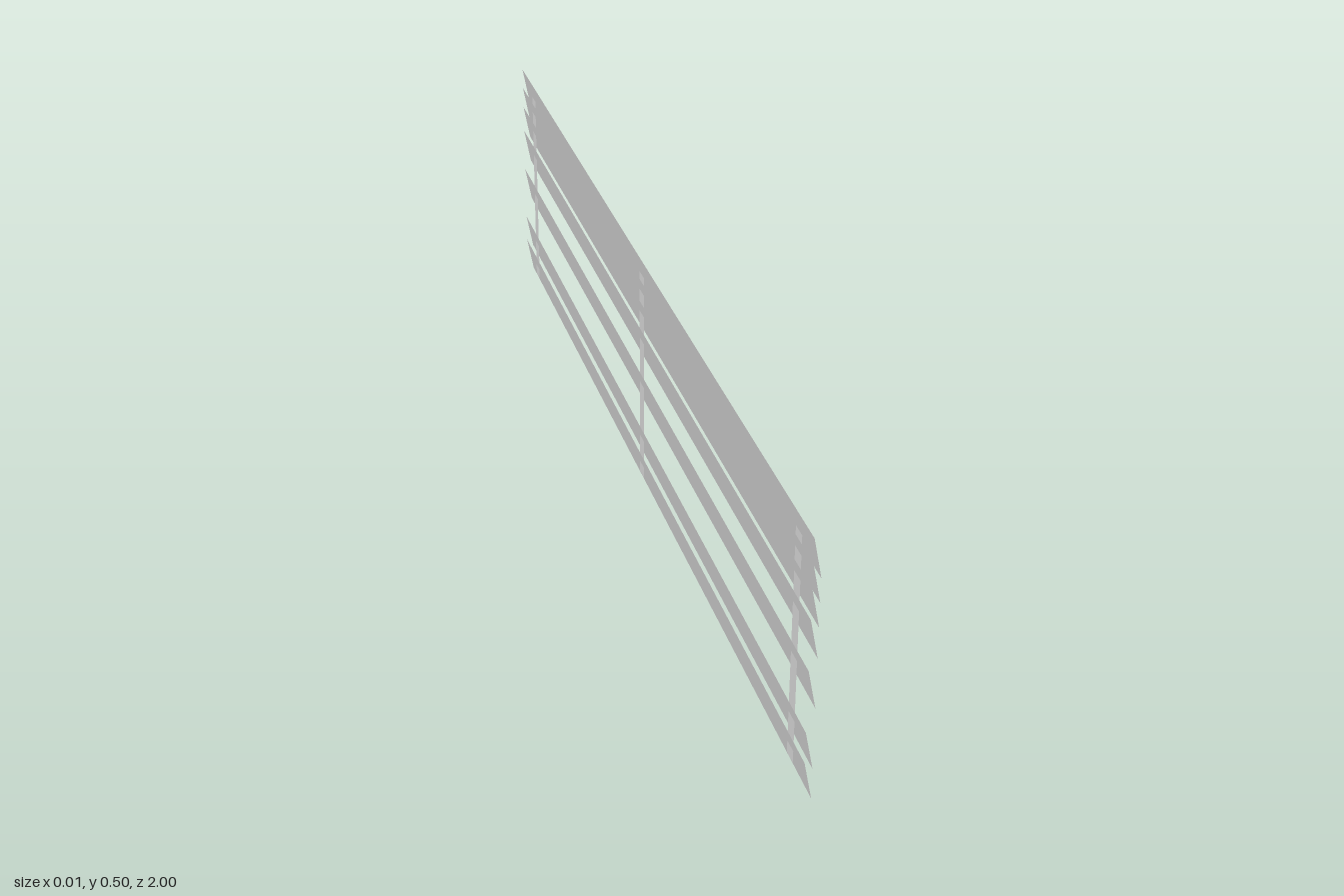
import * as THREE from 'three';

export function createModel() {
  const model = new THREE.Group();
  const slatMaterial = new THREE.MeshStandardMaterial({ color: 0xcccccc, flatShading: true, side: THREE.DoubleSide });
  const tapeMaterial = new THREE.MeshStandardMaterial({ color: 0xd8d8d4, flatShading: true, side: THREE.DoubleSide });

  // Thin sheet running along z and facing +x, leaning out at its lower edge by `lean`
  function sheet(name, length, height, lean, material) {
    const geometry = new THREE.PlaneGeometry(length, height);
    geometry.rotateY(Math.PI / 2);
    const p = geometry.attributes.position;
    for (let i = 0; i < p.count; i++) p.setX(i, -lean * p.getY(i) / height);
    geometry.computeVertexNormals();
    const mesh = new THREE.Mesh(geometry, material);
    mesh.name = name;
    model.add(mesh);
    return mesh;
  }

  // Slats, gathered at the top and spreading apart further down
  const slatHeight = 0.075;
  const slatBottoms = [0, 0.06, 0.18, 0.276, 0.334, 0.38, 0.425];
  slatBottoms.forEach((y, i) => {
    const slat = sheet(`slat${i + 1}`, 2, slatHeight, 0.014, slatMaterial);
    slat.position.y = y + slatHeight / 2;
  });

  // Three upright tapes threaded through the slats
  const tapeBottom = 0.02, tapeTop = 0.46;
  [-0.915, 0, 0.915].forEach((z, i) => {
    const tape = sheet(`tape${i + 1}`, 0.03, tapeTop - tapeBottom, 0, tapeMaterial);
    tape.position.set(-0.001, (tapeBottom + tapeTop) / 2, z);
  });

  return model;
}
